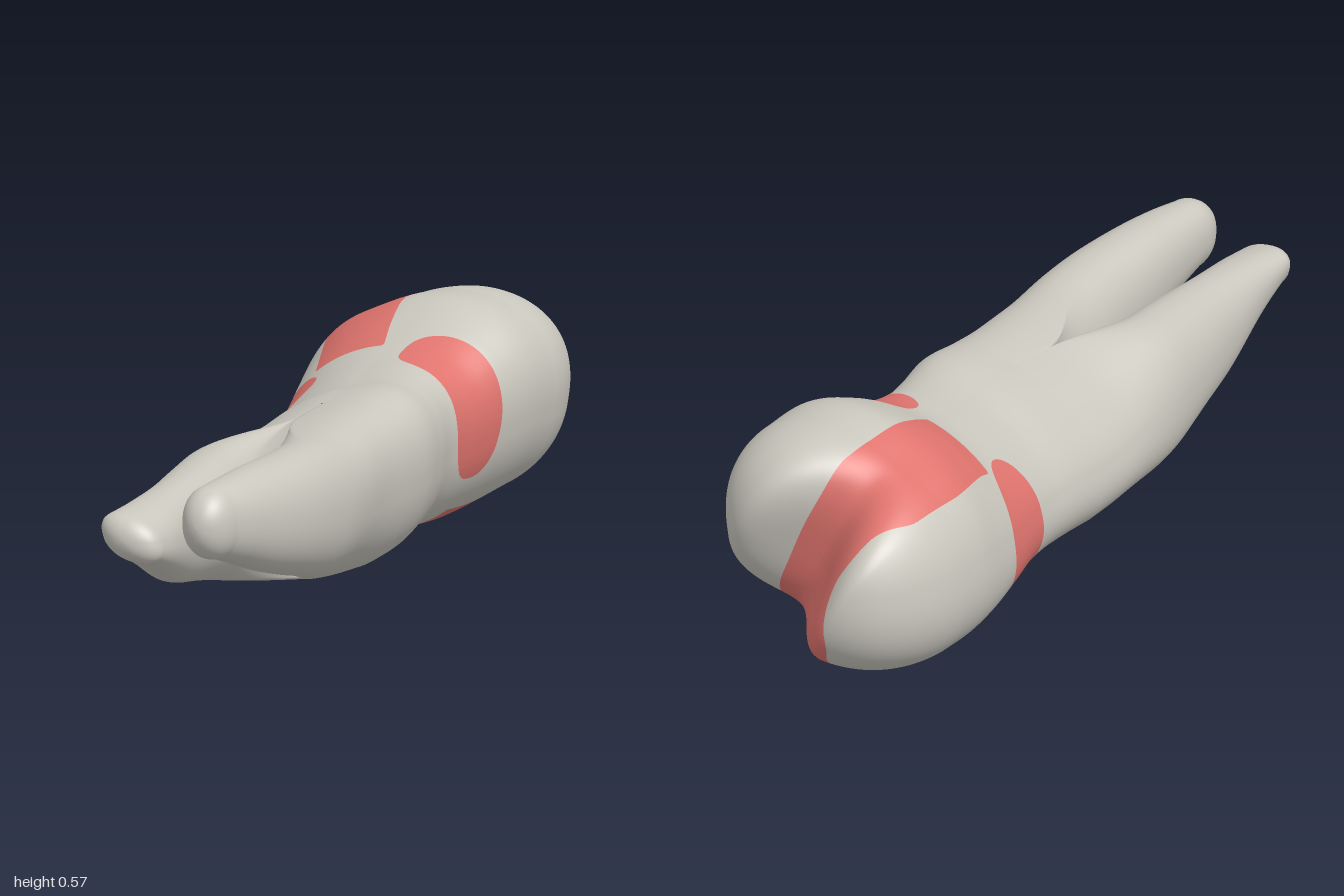
import * as THREE from 'three';

const SEG = 180;
const { smoothstep, lerp, clamp } = THREE.MathUtils;

// Stations are [z, xMin, xMax, yMin, yMax, tilt, bottomTilt]; resample them along a smooth spline.
function resample(stations, steps) {
  const out = [];
  const last = stations.length - 1;
  const cr = (a, b, c, d, t) => 0.5 * (2 * b + (c - a) * t
    + (2 * a - 5 * b + 4 * c - d) * t * t + (3 * b - a - 3 * c + d) * t * t * t);
  for (let i = 0; i < last; i++) {
    const p = [Math.max(i - 1, 0), i, i + 1, Math.min(i + 2, last)].map((n) => stations[n]);
    for (let j = 0; j < steps; j++) {
      out.push(p[1].map((_, k) => cr(p[0][k], p[1][k], p[2][k], p[3][k], j / steps)));
    }
  }
  out.push(stations[last]);
  return out;
}

// One closed, tilted oval cross-section.
const soft = (v) => Math.sign(v) * Math.pow(Math.abs(v), 0.91);
function ring([z, x0, x1, y0, y1, tilt, bottomTilt = tilt], scale = 1) {
  const pts = [];
  for (let j = 0; j < SEG; j++) {
    const t = (j / SEG) * Math.PI * 2;
    const lean = lerp(bottomTilt, tilt, (1 + Math.sin(t)) / 2);
    pts.push(new THREE.Vector3(
      (x0 + x1) / 2 + ((x1 - x0) / 2) * scale * soft(Math.cos(t)),
      (y0 + y1) / 2 + ((y1 - y0) / 2) * scale * soft(Math.sin(t + lean)), z));
  }
  return pts;
}

// Skin the rings (ordered towards +z). Where paint(point) is above zero the second
// material is used; triangles on the border are cut along it.
function skin(rings, paint = () => -1) {
  const pts = rings.flat();
  const value = pts.map(paint);
  const lists = [[], []];
  const cuts = new Map();
  const cut = (a, b) => {
    const key = a < b ? `${a}_${b}` : `${b}_${a}`;
    if (!cuts.has(key)) {
      cuts.set(key, pts.length);
      pts.push(pts[a].clone().lerp(pts[b], value[a] / (value[a] - value[b])));
    }
    return cuts.get(key);
  };
  const triangle = (...t) => {
    const side = t.map((i) => (value[i] > 0 ? 1 : 0));
    const sum = side[0] + side[1] + side[2];
    if (sum === 0 || sum === 3) {
      lists[side[0]].push(...t);
      return;
    }
    const odd = side.indexOf(sum === 1 ? 1 : 0);
    const [a, b, c] = [t[odd], t[(odd + 1) % 3], t[(odd + 2) % 3]];
    const ab = cut(a, b), ac = cut(a, c);
    lists[side[odd]].push(a, ab, ac);
    lists[1 - side[odd]].push(ab, b, c, ab, c, ac);
  };
  for (let i = 0; i < rings.length - 1; i++) {
    for (let j = 0; j < SEG; j++) {
      const a = i * SEG + j, b = i * SEG + ((j + 1) % SEG);
      triangle(a, b, a + SEG);
      triangle(b, b + SEG, a + SEG);
    }
  }
  const geo = new THREE.BufferGeometry().setFromPoints(pts);
  geo.setIndex(lists[0].concat(lists[1]));
  geo.addGroup(0, lists[0].length, 0);
  geo.addGroup(lists[0].length, lists[1].length, 1);
  geo.computeVertexNormals();
  return geo;
}

// Coordinates across (u) and along (v) the groove between the cusps.
const across = (p) => p.x * 0.88 + (p.y - 0.285) * 0.48;
const along = (p) => -p.x * 0.48 + (p.y - 0.285) * 0.88;

// Crown and trunk, from the widest part of the crown to where the roots begin.
const bodyStations = [
  [-0.70, -0.335, 0.310, 0.000, 0.563, 0.20, 0.24],
  [-0.60, -0.328, 0.306, 0.002, 0.567, 0.22, 0.24],
  [-0.50, -0.306, 0.285, 0.012, 0.530, 0.27, 0.22],
  [-0.40, -0.280, 0.258, 0.030, 0.483, 0.34, 0.15],
  [-0.30, -0.252, 0.243, 0.044, 0.466, 0.42, 0.08],
  [-0.20, -0.232, 0.263, 0.040, 0.460, 0.46, 0.04],
  [-0.10, -0.225, 0.285, 0.034, 0.468, 0.48, 0.02],
  [0.00, -0.220, 0.288, 0.030, 0.460, 0.48, 0.02],
];
// The trunk's section carried on beyond the start of the roots, at the roots' stations.
const trunkStations = [
  bodyStations[7],
  [0.12, -0.210, 0.291, 0.040, 0.455, 0.48, 0.05],
  [0.26, -0.187, 0.308, 0.058, 0.456, 0.46, 0.12],
  [0.40, -0.162, 0.327, 0.080, 0.460, 0.45, 0.18],
  [0.55, -0.128, 0.335, 0.113, 0.466, 0.45, 0.20],
];

function bodyRings() {
  const rings = [];
  // Chewing surface: two cusps with a valley between them.
  for (let i = 0; i < 44; i++) {
    const s = Math.sin((i / 44) * Math.PI / 2);
    const pts = ring(bodyStations[0], s);
    for (const p of pts) {
      const u = across(p);
      const depth = 0.13 + (u < 0 ? 0.187 * smoothstep(-u, 0, 0.18) : 0.125 * smoothstep(u, 0, 0.2));
      p.z -= depth * Math.sqrt(1 - s ** 3);
    }
    rings.push(pts);
  }
  for (const st of resample(bodyStations, 12)) rings.push(ring(st));
  // Furrow down both sides of the crown, at the ends of the valley.
  for (const p of rings.flat()) {
    const fade = 1 - smoothstep(p.z, -0.8, -0.45);
    const dent = Math.exp(-((across(p) / 0.1) ** 2)) * Math.min(1, Math.abs(along(p)) / 0.25);
    const pull = 1 - 0.09 * fade * dent;
    p.x *= pull;
    p.y = 0.285 + (p.y - 0.285) * pull;
  }
  return rings;
}

// Painted areas: the band over the crown and a patch on each side of the neck.
function painted(p) {
  const u = across(p), v = along(p);
  const cap = smoothstep(-p.z, 0.78, 0.9);
  const upper = smoothstep(v, -0.1, 0.1);
  const lowWall = lerp(-0.175, -0.12 - 0.035 * smoothstep(-p.z, 0.42, 0.65), upper);
  const low = lerp(lowWall, lerp(-0.195, -0.115, upper), cap);
  const high = lerp(lerp(0.05, 0.085, upper), 0.055, cap);
  const band = Math.min(-0.42 - p.z, u - low, high - u);
  const angle = Math.atan2(p.y - 0.26, p.x);
  const patch = (mid, half, z, halfZ, power) => {
    const d = Math.atan2(Math.sin(angle - mid), Math.cos(angle - mid)) / half;
    return 0.1 * (1 - Math.abs(d) ** power - Math.abs((p.z - z) / halfZ) ** power);
  };
  return Math.max(band, patch(0.51, 0.82, -0.398, 0.082, 2.6), patch(3.27, 0.82, -0.355, 0.085, 2));
}

// The half of a section on one side (-1 or 1) of the slanting split between the roots.
const SLOPE = 0.2;
const offset = (p) => p.x - 0.08 + (p.y - 0.25) * SLOPE;
function halfSection(pts, side) {
  const off = pts.map(offset);
  const crossings = [];
  pts.forEach((p, j) => {
    const k = (j + 1) % SEG;
    if (off[j] * off[k] <= 0) crossings.push(lerp(p.y, pts[k].y, off[j] / (off[j] - off[k])));
  });
  const low = Math.min(...crossings), high = Math.max(...crossings);
  pts.forEach((p, j) => {
    if (off[j] * side >= 0) return;
    p.y = clamp(p.y, low, high);
    p.x = 0.08 - (p.y - 0.25) * SLOPE;
  });
  return pts;
}

// A tapering root with a rounded tip: it starts as half the trunk and turns into its own oval.
function root(stations, side, tipLength) {
  const trunk = resample(trunkStations, 10);
  const rings = resample(stations, 10).map((st, i) => {
    const pts = ring(st);
    const blend = smoothstep(st[0], 0.12, 0.44);
    if (blend < 1) {
      halfSection(ring(trunk[i]), side).forEach((q, j) => pts[j].lerp(q, 1 - blend));
    }
    return pts;
  });
  const end = stations[stations.length - 1];
  for (let i = 1; i <= 10; i++) {
    const a = (i / 10) * Math.PI / 2;
    rings.push(ring([end[0] + tipLength * Math.sin(a), ...end.slice(1)], Math.cos(a)));
  }
  return skin(rings);
}

const rightRoot = [
  [0.00, -0.220, 0.080, 0.040, 0.430, 0.25],
  [0.12, -0.210, 0.075, 0.043, 0.428, 0.25],
  [0.26, -0.187, 0.066, 0.056, 0.428, 0.22],
  [0.40, -0.162, 0.070, 0.085, 0.420, 0.18],
  [0.55, -0.128, 0.084, 0.120, 0.410, 0.12],
  [0.70, -0.092, 0.090, 0.155, 0.400, 0.05],
  [0.85, -0.062, 0.105, 0.220, 0.392, -0.15],
  [0.95, -0.050, 0.110, 0.265, 0.385, -0.35],
];
const leftRoot = [
  [0.00, 0.040, 0.288, 0.080, 0.455, 0.10],
  [0.12, 0.035, 0.291, 0.085, 0.452, 0.10],
  [0.26, 0.045, 0.308, 0.095, 0.456, 0.06],
  [0.40, 0.085, 0.327, 0.127, 0.460, 0.03],
  [0.55, 0.113, 0.335, 0.165, 0.466, 0.00],
  [0.70, 0.130, 0.327, 0.210, 0.470, -0.05],
  [0.82, 0.143, 0.307, 0.255, 0.468, -0.05],
  [0.90, 0.150, 0.285, 0.285, 0.464, -0.05],
];

export function createModel() {
  const enamel = new THREE.MeshStandardMaterial({ color: 0xcac7be });
  enamel.name = 'enamel grey';
  const marked = new THREE.MeshStandardMaterial({ color: 0xe0746e });
  marked.name = 'marked red';

  const model = new THREE.Group();
  model.name = 'tooth';
  const add = (name, geometry, material) => {
    const mesh = new THREE.Mesh(geometry, material);
    mesh.name = name;
    model.add(mesh);
  };
  add('crownAndTrunk', skin(bodyRings(), painted), [enamel, marked]);
  add('rightRoot', root(rightRoot, -1, 0.05), enamel);
  add('leftRoot', root(leftRoot, 1, 0.085), enamel);
  return model;
}
